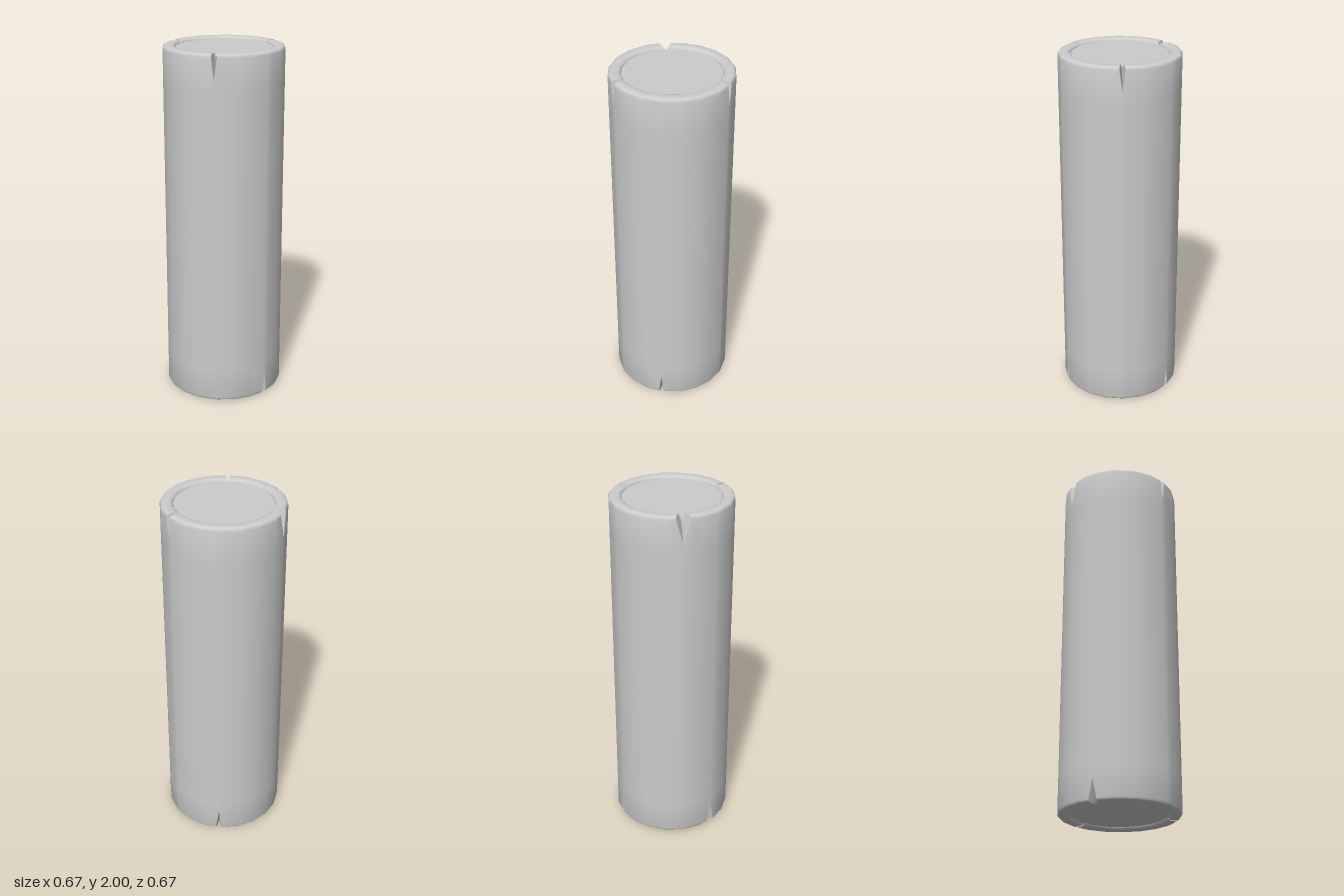
import * as THREE from 'three';
import { toCreasedNormals } from 'three/addons/utils/BufferGeometryUtils.js';

const SIDES = 20, STEP = (2 * Math.PI) / SIDES, PHASE = THREE.MathUtils.degToRad(5);
const OUTER = 0.335, INNER = 0.266, HEIGHT = 2, RECESS = 0.016;

// Wedge cuts in the rims: position, half width on the outside, depth
const cuts = [
  { x: -0.228, z: -0.207, half: 0.039, depth: 0.15, top: true },
  { x: 0.295, z: -0.064, half: 0.016, depth: 0.13, top: true },
  { x: -0.125, z: 0.28, half: 0.016, depth: 0.14, top: true },
  { x: 0.165, z: 0.29, half: 0.016, depth: 0.13, top: false },
  { x: 0.14, z: -0.30, half: 0.017, depth: 0.13, top: false },
  { x: -0.33, z: -0.05, half: 0.024, depth: 0.13, top: false },
].map(c => ({ ...c, angle: Math.atan2(c.z, c.x), w: c.half / OUTER }));

// Rounded rim from inner edge to outer wall, as [radius, distance below the end]
function rimProfile() {
  const pts = [];
  for (let i = 0; i <= 4; i++) {
    const a = (i / 4) * Math.PI / 2;
    pts.push([INNER + 0.026 * (1 - Math.cos(a)), RECESS * (1 - Math.sin(a))]);
  }
  for (let i = 0; i <= 4; i++) {
    const a = (i / 4) * Math.PI / 2;
    pts.push([OUTER - 0.022 * (1 - Math.sin(a)), 0.018 * (1 - Math.cos(a))]);
  }
  pts.push([OUTER, 0.2]);
  return pts;
}

// Scale that puts an angle on the flat sides of the polygon
function polygonScale(angle) {
  const t = (((angle - PHASE) % STEP) + STEP) % STEP;
  return Math.cos(STEP / 2) / Math.cos(t - STEP / 2);
}

// Columns around the body: polygon corners plus three columns per cut
function makeColumns() {
  const wrap = a => Math.atan2(Math.sin(a), Math.cos(a));
  const cols = [];
  for (let i = 0; i < SIDES; i++) {
    const angle = wrap(PHASE + i * STEP);
    if (cuts.every(c => Math.abs(wrap(angle - c.angle)) > c.w)) cols.push({ angle });
  }
  for (const cut of cuts)
    for (const side of [-1, 0, 1]) cols.push({ angle: wrap(cut.angle + side * cut.w), cut, side });
  return cols.sort((a, b) => a.angle - b.angle);
}

function shellGeometry() {
  const rim = rimProfile();
  const rows = [
    ...rim.map(([r, d]) => ({ r, d, top: true })),
    ...rim.slice().reverse().map(([r, d]) => ({ r, d, top: false })),
  ];
  const cols = makeColumns(), pos = [], index = [];
  for (const { r, d, top } of rows) {
    const t = (r - INNER) / (OUTER - INNER);
    for (const { angle, cut, side } of cols) {
      let a = angle, drop = d;
      if (cut && cut.top === top) {
        // each cut is narrow and shallow inside, wide and deep outside
        a = cut.angle + side * cut.w * (0.4 + 0.6 * t);
        if (side === 0) drop = Math.max(d, RECESS + (cut.depth - RECESS) * t);
      }
      const k = r * polygonScale(a);
      pos.push(k * Math.cos(a), top ? HEIGHT - drop : drop, k * Math.sin(a));
    }
  }
  const n = cols.length;
  for (let i = 0; i < rows.length - 1; i++)
    for (let j = 0; j < n; j++) {
      const a = i * n + j, b = i * n + (j + 1) % n;
      index.push(a, b, a + n, b, b + n, a + n);
    }
  const g = new THREE.BufferGeometry();
  g.setAttribute('position', new THREE.Float32BufferAttribute(pos, 3));
  g.setIndex(index);
  return toCreasedNormals(g, 0.62);
}

export function createModel() {
  const group = new THREE.Group();
  const material = new THREE.MeshStandardMaterial({ color: 0xcccccc });
  const add = (name, geometry) => {
    const mesh = new THREE.Mesh(geometry, material);
    mesh.name = name;
    group.add(mesh);
    return mesh;
  };

  // Long outer shell with rounded, split rims
  add('outerShell', shellGeometry());

  // Slightly sunken discs closing both ends
  for (const top of [true, false]) {
    const s = top ? -1 : 1;
    const disc = new THREE.CircleGeometry(INNER + 0.001, SIDES, s * PHASE);
    disc.rotateX(s * Math.PI / 2);
    add(top ? 'topDisc' : 'bottomDisc', disc).position.y = top ? HEIGHT - RECESS : RECESS;
  }
  return group;
}
